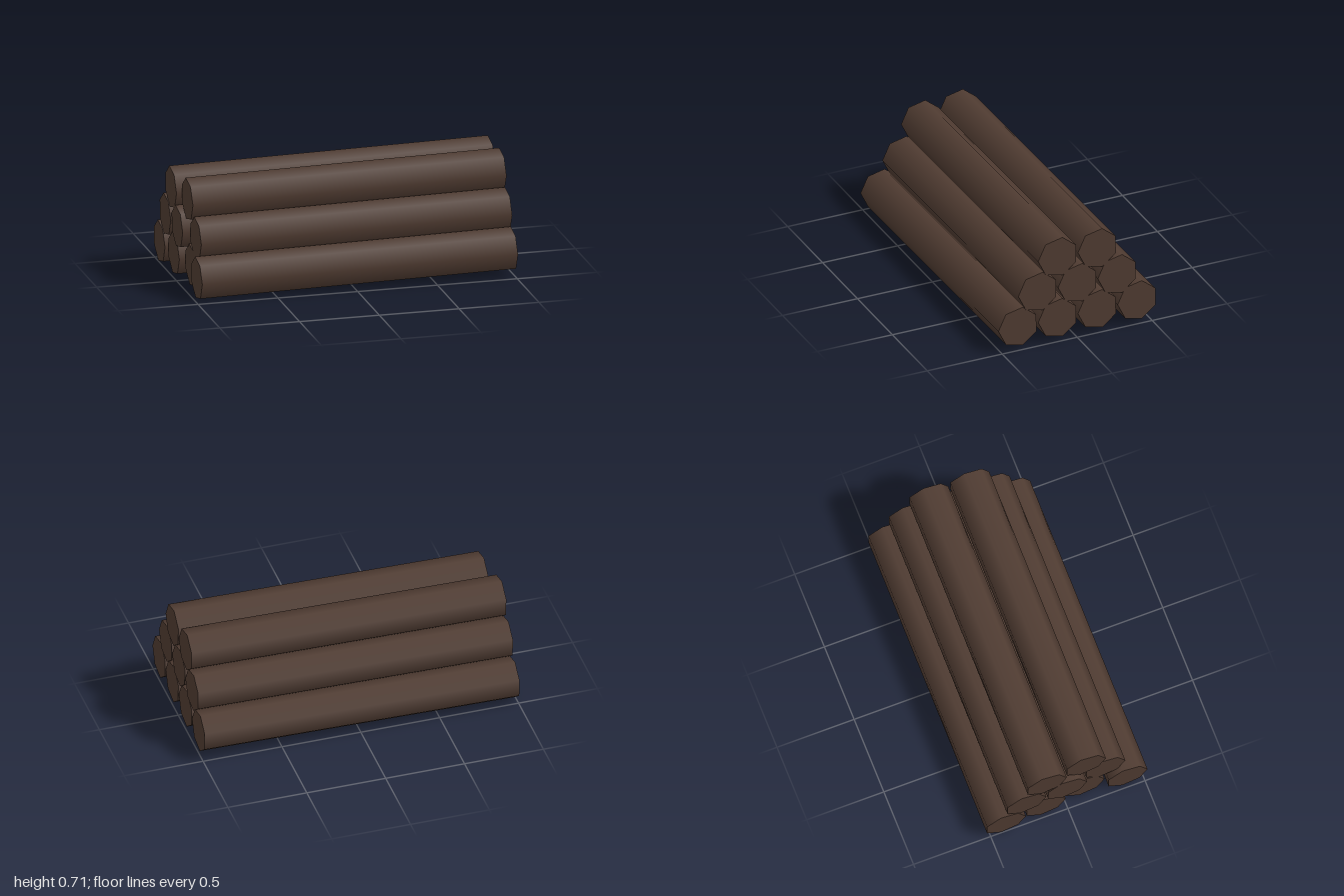
import * as THREE from 'three';

const RADIUS = 0.1325;
const TILT = 0.0153; // the whole stack rises slightly towards +x
const RIGHT_END = 0.998;

// Rows from the ground up: height at the +x end, and [z, x of the far end] for each log
const ROWS = [
  { name: 'bottomLog', y: 0.16, logs: [[0.3915, -0.98], [0.1265, -0.945], [-0.1385, -0.98], [-0.4035, -0.998]] },
  { name: 'middleLog', y: 0.37, logs: [[0.259, -0.95], [-0.006, -0.995], [-0.271, -0.998]] },
  { name: 'topLog', y: 0.58, logs: [[0.1265, -0.967], [-0.1385, -0.998]] },
];

export function createModel() {
  const group = new THREE.Group();
  group.name = 'logPile';
  const bark = new THREE.MeshStandardMaterial({ color: 0x4f3b31 });
  bark.name = 'darkBrownWood';

  for (const row of ROWS) {
    row.logs.forEach(([z, leftEnd], i) => {
      // Seven-sided log with smooth sides, lying along x, one corner towards +z
      const length = RIGHT_END - leftEnd;
      const geometry = new THREE.CylinderGeometry(RADIUS, RADIUS, length, 7);
      geometry.rotateZ(-Math.PI / 2);
      const log = new THREE.Mesh(geometry, bark);
      log.name = `${row.name}${i + 1}`;
      log.rotation.z = TILT;
      log.position.set((RIGHT_END + leftEnd) / 2, row.y - (TILT * length) / 2, z);
      group.add(log);
    });
  }
  return group;
}
